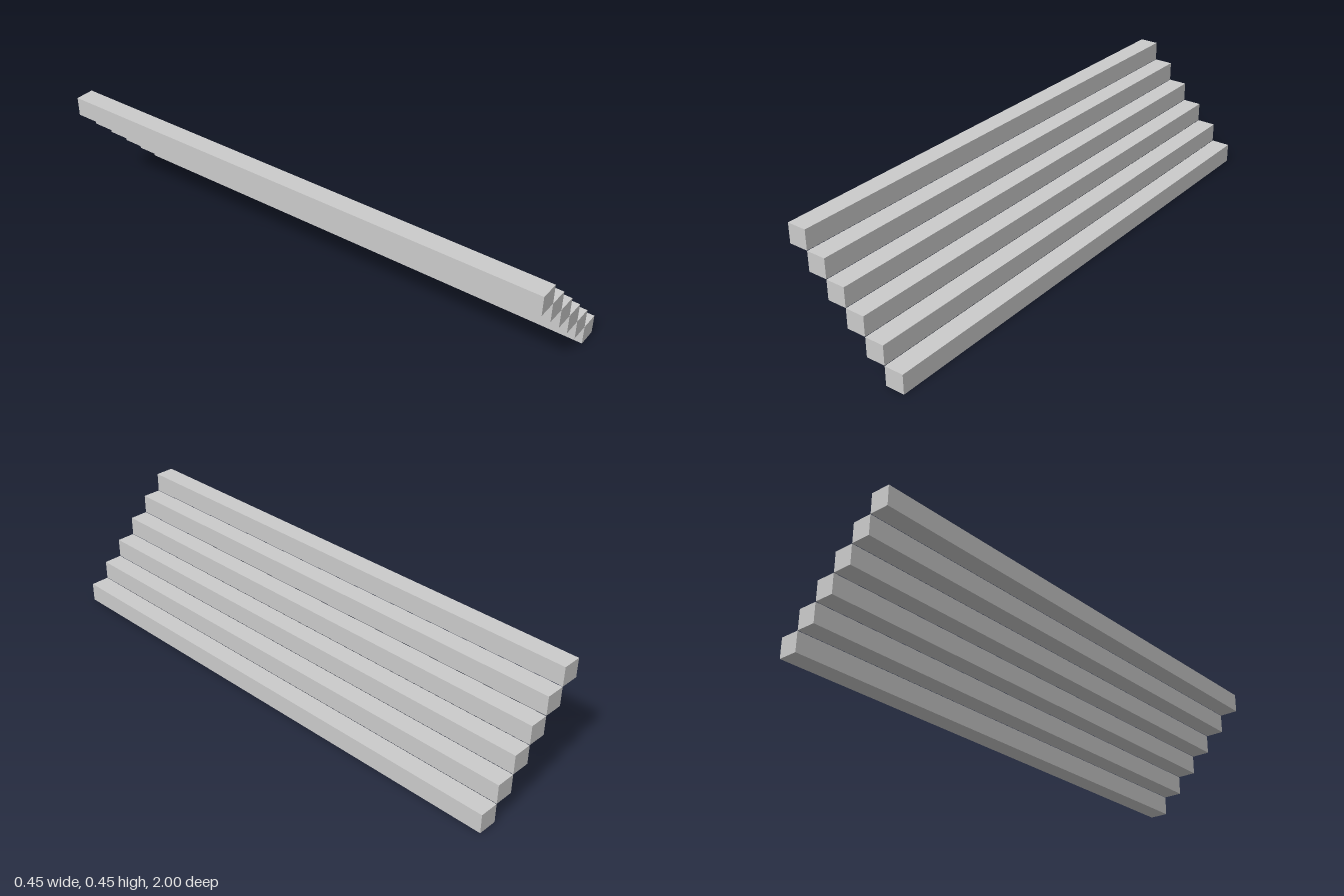
import * as THREE from 'three';

const STEPS = 6;
const PITCH = 0.0744; // run and rise per step
const SIZE = 0.0737; // square section, leaving a hairline gap
const LENGTH = 2;

export function createModel() {
  const stairs = new THREE.Group();
  stairs.name = 'stairs';
  const material = new THREE.MeshStandardMaterial({ color: 0xcccccc, flatShading: true });
  const geometry = new THREE.BoxGeometry(SIZE, SIZE, LENGTH);

  // Square beams climbing from +x up to -x
  for (let i = 0; i < STEPS; i++) {
    const step = new THREE.Mesh(geometry, material);
    step.name = `step${i + 1}`;
    step.position.set(((STEPS - 1) / 2 - i) * PITCH, SIZE / 2 + i * PITCH, 0);
    stairs.add(step);
  }
  return stairs;
}
